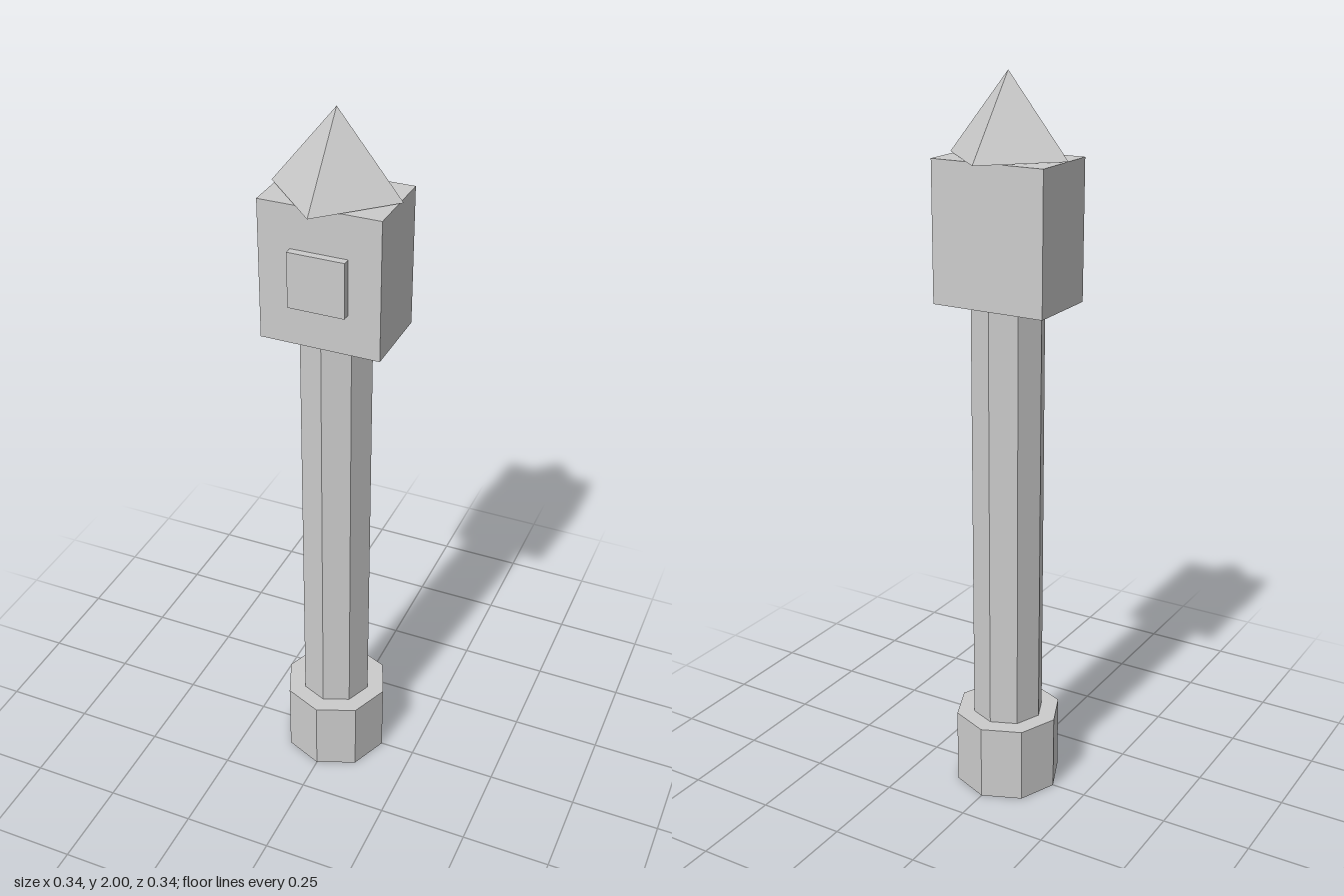
import * as THREE from 'three';

export function createModel() {
  const model = new THREE.Group();
  model.name = 'lanternPost';

  const grey = new THREE.MeshStandardMaterial({ color: 0xcccccc });
  grey.name = 'light grey';
  grey.flatShading = true;

  // Places a geometry so that it spans bottom..top in height
  function add(name, geometry, bottom, top, z = 0) {
    const mesh = new THREE.Mesh(geometry, grey);
    mesh.name = name;
    mesh.position.set(0, (bottom + top) / 2, z);
    model.add(mesh);
  }
  const prism = (radius, height) => new THREE.CylinderGeometry(radius, radius, height, 8);

  // Octagonal foot and shaft, with corners on the axes
  add('base', prism(0.15, 0.215), 0, 0.215);
  add('shaft', prism(0.1, 1.195), 0.215, 1.41);

  // Boxy head with a raised panel on the front
  add('head', new THREE.BoxGeometry(0.323, 0.375, 0.216), 1.41, 1.785);
  add('frontPanel', new THREE.BoxGeometry(0.152, 0.15, 0.022), 1.52, 1.67, 0.118);

  // Four-sided roof turned 45 degrees to the head
  add('roof', new THREE.ConeGeometry(0.172, 0.212, 4), 1.788, 2);

  return model;
}
